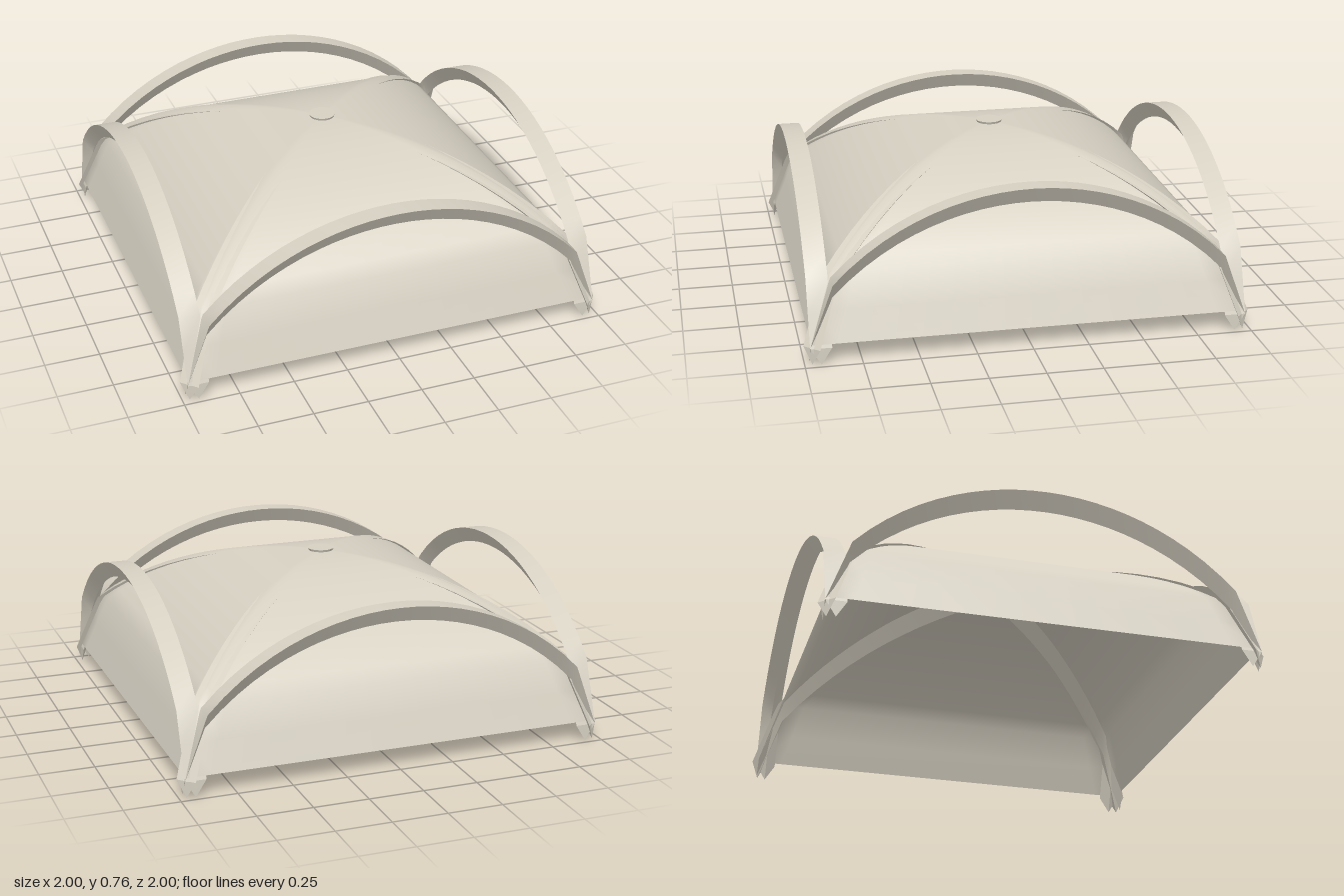
import * as THREE from 'three';

const KNEE = 0.87, KNEE_Y = 0.36, TOP = 0.735, FOOT_Y = 0.075;
const RADIUS = (KNEE * KNEE + (TOP - KNEE_Y) ** 2) / (2 * (TOP - KNEE_Y));

// Height of the shared curve: a round crown that breaks into straight legs
function crown(s, end) {
  s = Math.abs(s);
  if (s <= KNEE) return TOP - RADIUS + Math.sqrt(RADIUS * RADIUS - s * s);
  return KNEE_Y + (FOOT_Y - KNEE_Y) * (s - KNEE) / (end - KNEE);
}

// Sample positions from the middle out to the foot
function stations(end, n) {
  const list = [];
  for (let i = 0; i <= n; i++) list.push(KNEE * i / n);
  list.push((KNEE + end) / 2, end);
  return list;
}

// Arched beam along x with an upright triangular section, flat side up
function beamGeometry(end, stretch, halfWidth, depth) {
  const half = stations(end, 12);
  const path = [...half.slice(1).reverse().map(s => -s), ...half];
  const section = [[0, -halfWidth], [0, halfWidth], [-depth, 0]];
  const pos = [], idx = [];
  const put = (s, [dy, z]) => pos.push(s * stretch, crown(s, end) + dy, z);
  for (let k = 0; k < 3; k++) {
    const base = pos.length / 3;
    path.forEach((s, i) => {
      put(s, section[k]);
      put(s, section[(k + 1) % 3]);
      if (i === 0) return;
      const a = base + 2 * (i - 1);
      idx.push(a, a + 1, a + 3, a, a + 3, a + 2);
    });
  }
  // end faces
  for (const side of [1, -1]) {
    const base = pos.length / 3;
    section.forEach(p => put(side * end, p));
    if (side > 0) idx.push(base, base + 1, base + 2);
    else idx.push(base, base + 2, base + 1);
  }
  return toGeometry(pos, idx);
}

// Canopy made of square rings, one per height
function canopyGeometry(end, bottom, lift) {
  const pos = [0, TOP + lift, 0], idx = [];
  const perSide = 16, count = perSide * 4;
  const rings = stations(end, 16).slice(1);
  rings.forEach((s, r) => {
    const y = r === rings.length - 1 ? bottom : crown(s, end) + lift;
    for (let i = 0; i < count; i++) {
      const t = (i % perSide) / perSide * 2 - 1;
      const corner = Math.floor(i / perSide);
      const [x, z] = [[t, 1], [1, -t], [-t, -1], [-1, t]][corner];
      pos.push(x * s, y, z * s);
    }
    for (let i = 0; i < count; i++) {
      const j = (i + 1) % count;
      const c = 1 + r * count + i, d = 1 + r * count + j;
      if (r === 0) idx.push(0, c, d);
      else idx.push(c - count, c, d, c - count, d, d - count);
    }
  });
  return toGeometry(pos, idx);
}

function toGeometry(pos, idx) {
  const g = new THREE.BufferGeometry();
  g.setAttribute('position', new THREE.Float32BufferAttribute(pos, 3));
  g.setIndex(idx);
  g.computeVertexNormals();
  return g;
}

export function createModel() {
  const model = new THREE.Group();
  model.name = 'domeTent';
  const canvas = new THREE.MeshStandardMaterial({ color: 0xd6d0c2, side: THREE.DoubleSide });
  canvas.name = 'canvas';

  const add = (name, geometry) => {
    const mesh = new THREE.Mesh(geometry, canvas);
    mesh.name = name;
    model.add(mesh);
    return mesh;
  };

  // Four-sided canopy
  add('canopy', canopyGeometry(0.97, 0.09, 0.011));

  // Edge arches on the four sides
  const archGeometry = beamGeometry(0.975, 1, 0.0475, 0.075);
  ['frontArch', 'leftArch', 'backArch', 'rightArch'].forEach((name, i) => {
    const angle = i * Math.PI / 2;
    const arch = add(name, archGeometry);
    arch.rotation.y = angle;
    arch.position.set(Math.sin(angle) * 0.9275, 0, Math.cos(angle) * 0.9275);
  });

  // Two crossing ribs under the diagonals
  const ribGeometry = beamGeometry(0.967, Math.SQRT2, 0.0465, 0.075);
  [1, -1].forEach((side, i) => {
    add('diagonalRib' + (i + 1), ribGeometry).rotation.y = side * Math.PI / 4;
  });

  // Round cap on the peak
  add('peakCap', new THREE.CylinderGeometry(0.063, 0.055, 0.018, 32)).position.y = 0.747;

  return model;
}
